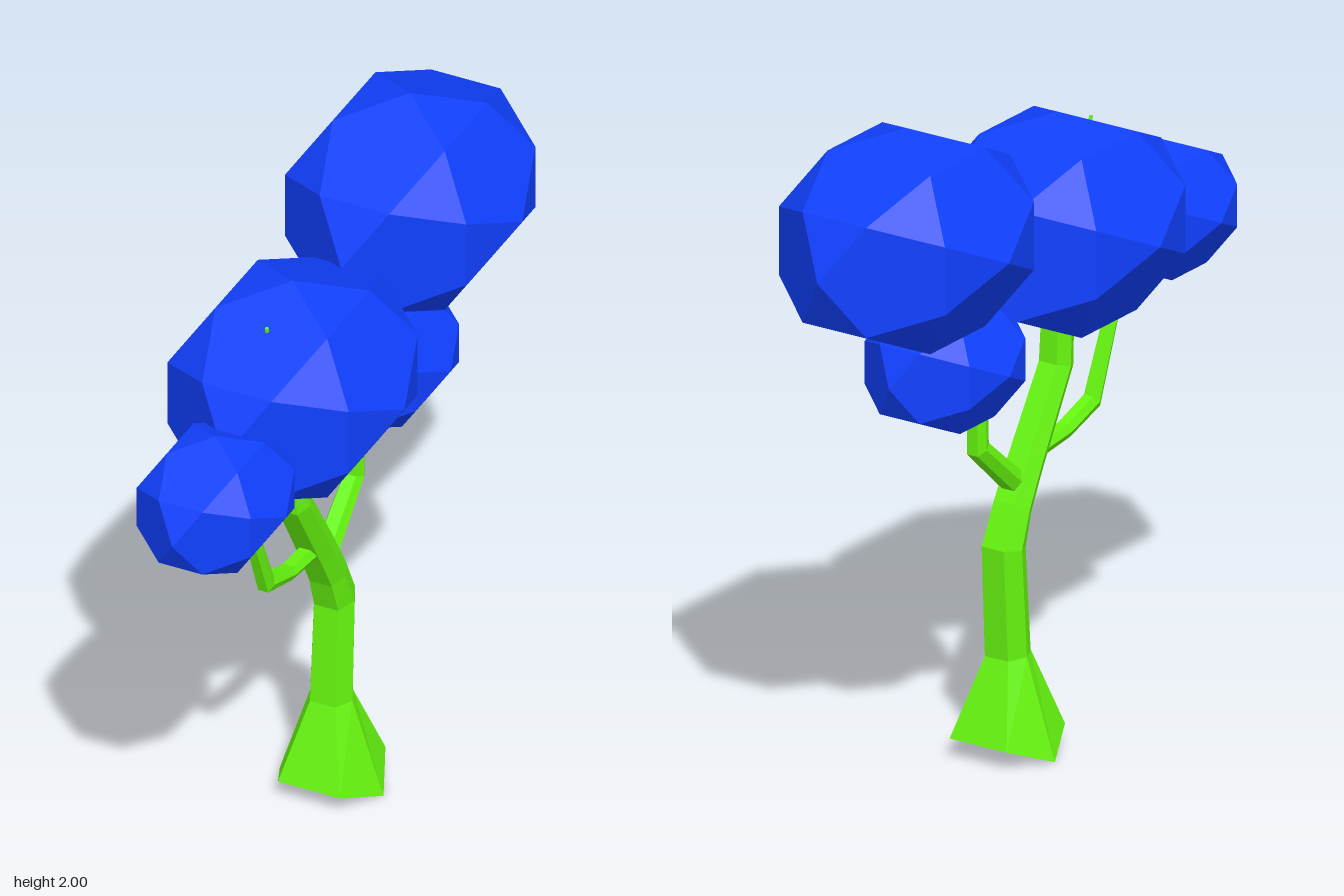
import * as THREE from 'three';
import { ConvexGeometry } from 'three/addons/geometries/ConvexGeometry.js';

const bark = new THREE.MeshStandardMaterial({ color: 0x66f50f, flatShading: true });
const leaf = new THREE.MeshStandardMaterial({ color: 0x1040ff, flatShading: true });

// Six-sided limb bent in the yz plane; each section is [y, z, half width, half depth, lift]
function limb(name, sections) {
  const pos = [], idx = [], n = 6;
  const last = sections.length - 1;
  const dir = (a, b) => new THREE.Vector2(b[1] - a[1], b[0] - a[0]).normalize();
  sections.forEach(([y, z, rx, rd, lift = 0], i) => {
    const t = new THREE.Vector2();
    if (i > 0) t.add(dir(sections[i - 1], sections[i]));
    if (i < last) t.add(dir(sections[i], sections[i + 1]));
    t.normalize();
    // Corners: one on each side, two at the front, two at the back
    const ring = [[1, 0], [0.6, -1], [-0.6, -1], [-1, 0], [-0.6, 1], [0.6, 1]];
    for (const [u, v] of ring) {
      pos.push(u * rx, y - v * rd * t.x + Math.abs(v) * lift, z + v * rd * t.y);
    }
  });
  for (let i = 0; i < last; i++) {
    for (let j = 0; j < n; j++) {
      const a = i * n + j, b = i * n + (j + 1) % n;
      idx.push(a, b, b + n, a, b + n, a + n);
    }
  }
  // End caps
  const top = last * n;
  for (let j = 1; j < n - 1; j++) {
    idx.push(0, j + 1, j, top, top + j, top + j + 1);
  }
  const geo = new THREE.BufferGeometry();
  geo.setAttribute('position', new THREE.Float32BufferAttribute(pos, 3));
  geo.setIndex(idx);
  const flat = geo.toNonIndexed();
  flat.computeVertexNormals();
  const mesh = new THREE.Mesh(flat, bark);
  mesh.name = name;
  return mesh;
}

// Faceted ball of 20 triangles and 12 pentagons
function crownGeometry() {
  const a = (Math.sqrt(5) - 1) / 4, b = 0.5, c = a + 0.5;
  const pts = [];
  for (const s of [-1, 1]) {
    pts.push(new THREE.Vector3(s, 0, 0), new THREE.Vector3(0, s, 0), new THREE.Vector3(0, 0, s));
    for (const t of [-1, 1]) for (const u of [-1, 1]) {
      const x = a * s, y = b * t, z = c * u;
      pts.push(new THREE.Vector3(x, y, z), new THREE.Vector3(y, z, x), new THREE.Vector3(z, x, y));
    }
  }
  return new ConvexGeometry(pts);
}

export function createModel() {
  const tree = new THREE.Group();
  tree.name = 'tree';

  // Trunk with flared, folded foot; its thin tip ends inside the middle crown
  tree.add(limb('trunk', [
    [0, -0.037, 0.16, 0.142, 0.058],
    [0.29, -0.035, 0.065, 0.055],
    [0.61, -0.055, 0.062, 0.054],
    [0.72, -0.01, 0.058, 0.046],
    [0.83, 0.052, 0.055, 0.044],
    [1.075, 0.2, 0.05, 0.042],
    [1.2, 0.207, 0.048, 0.04],
    [1.755, 0.37, 0.005, 0.005],
  ]));

  // Side branches
  tree.add(limb('backBranch', [
    [0.76, 0.03, 0.035, 0.03],
    [0.8, -0.02, 0.035, 0.03],
    [0.94, -0.18, 0.03, 0.03],
    [1.22, -0.185, 0.025, 0.025],
  ]));
  tree.add(limb('frontBranch', [
    [0.85, 0.09, 0.03, 0.022],
    [0.865, 0.24, 0.028, 0.02],
    [0.91, 0.375, 0.026, 0.025],
    [1.15, 0.475, 0.022, 0.018],
    [1.27, 0.6, 0.018, 0.015],
  ]));

  // Leaf crowns: name, y, z, scale
  const geo = crownGeometry();
  for (const [name, y, z, s] of [
    ['topCrown', 1.673, -0.528, 1],
    ['middleCrown', 1.49, 0.208, 1],
    ['frontCrown', 1.382, 0.69, 0.63],
    ['backCrown', 1.25, -0.34, 0.63],
  ]) {
    const crown = new THREE.Mesh(geo, leaf);
    crown.name = name;
    crown.position.set(0, y, z);
    crown.scale.set(0.346 * s, 0.327 * s, 0.432 * s);
    tree.add(crown);
  }
  return tree;
}
